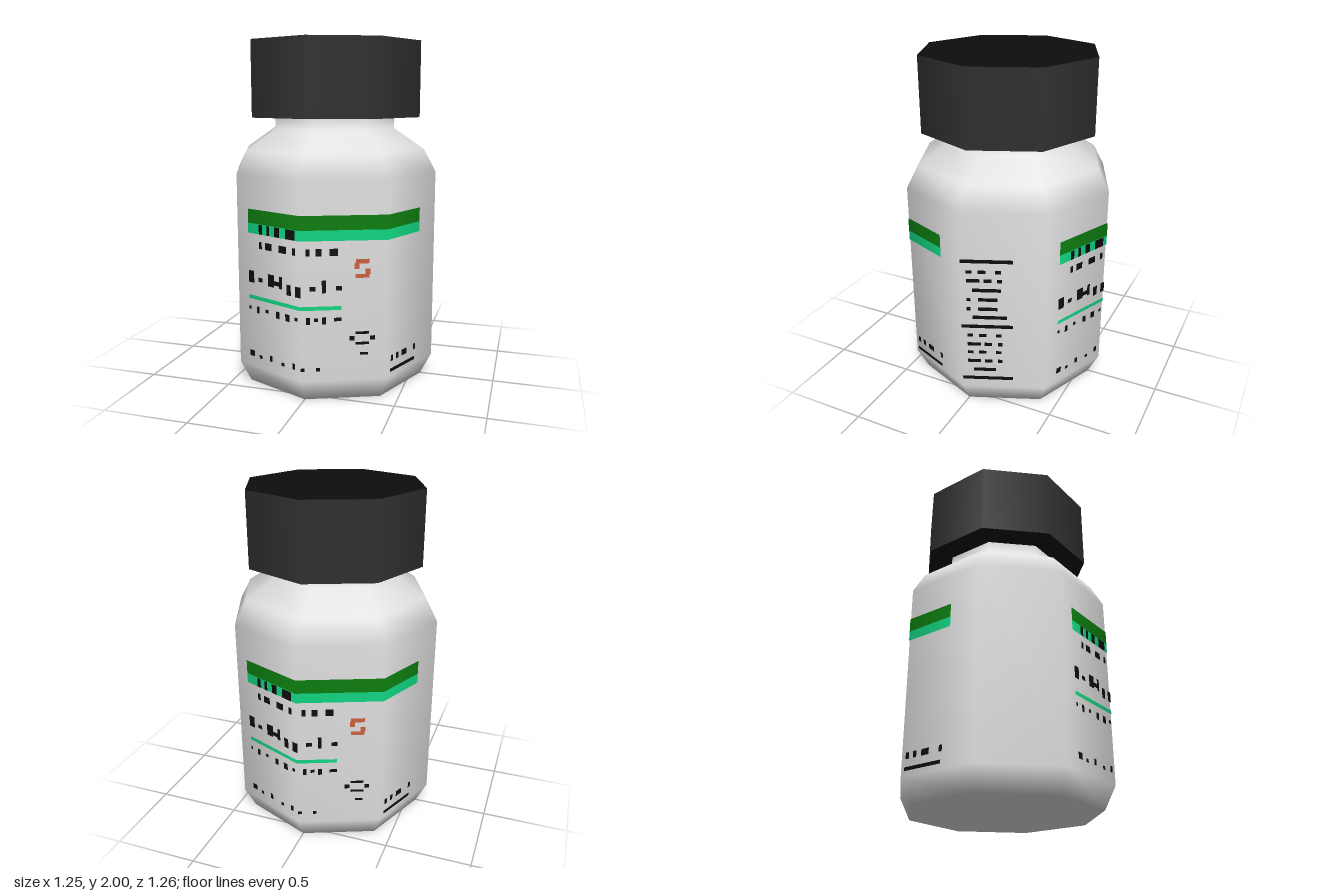
import * as THREE from 'three';

const R = 0.625, K = Math.SQRT1_2;

const material = (name, color, side = THREE.FrontSide) =>
  new THREE.MeshStandardMaterial({ name, color, side });

// Depth of the octagonal wall at a sideways position x, lifted slightly off the surface
function wallZ(x) {
  const r = R + 0.004, a = Math.abs(x), c = r * K;
  return a <= c ? r - (r - c) * a / c : (r - a) * c / (r - c);
}

// Thin printed rectangles [x0, x1, y0, y1] wrapped on the wall, folded at its corners
function printed(name, rects, mat) {
  const pos = [], nor = [], idx = [];
  const c = (R + 0.004) * K;
  for (const [x0, x1, y0, y1] of rects) {
    const xs = [x0, ...[-c, 0, c].filter(v => v > x0 && v < x1), x1];
    xs.forEach((x, i) => {
      const z = wallZ(x), l = Math.hypot(x, z), n = pos.length / 3;
      for (const y of [y0, y1]) {
        pos.push(x, y, z);
        nor.push(x / l, 0, z / l);
      }
      if (i < xs.length - 1) idx.push(n, n + 2, n + 3, n, n + 3, n + 1);
    });
  }
  const g = new THREE.BufferGeometry();
  g.setAttribute('position', new THREE.Float32BufferAttribute(pos, 3));
  g.setAttribute('normal', new THREE.Float32BufferAttribute(nor, 3));
  g.setIndex(idx);
  const mesh = new THREE.Mesh(g, mat);
  mesh.name = name;
  return mesh;
}

// One row of small marks: centre height, mark height, then start/end pairs
function row(y, h, ...ends) {
  const out = [];
  for (let i = 0; i < ends.length; i += 2) out.push([ends[i], ends[i + 1], y - h / 2, y + h / 2]);
  return out;
}

export function createModel() {
  const model = new THREE.Group();
  model.name = 'bottle';

  const white = material('white plastic', 0xe2e2e2, THREE.DoubleSide);
  const charcoal = material('charcoal cap', 0x303030);
  const black = material('black', 0x0d0d0d);
  const darkGreen = material('dark green', 0x0e8010);
  const lightGreen = material('light green', 0x12d884);
  const orange = material('orange', 0xcc6040);

  // Body: eight-sided smooth shell
  const profile = [[0, 0], [0.56, 0], [R, 0.13], [R, 1.25], [0.555, 1.38], [0.375, 1.5], [0.375, 1.58]]
    .map(p => new THREE.Vector2(...p));
  const body = new THREE.Mesh(new THREE.LatheGeometry(profile, 8), white);
  body.name = 'body';
  model.add(body);

  // Cap: charcoal sides with black ends
  const cap = new THREE.Mesh(new THREE.CylinderGeometry(0.525, 0.525, 0.435, 8), [charcoal, black, black]);
  cap.name = 'cap';
  cap.position.y = 1.7825;
  model.add(cap);

  // Marks on the main label
  const marks = [
    ...row(0.95, 0.055, -0.28, -0.255, -0.225, -0.205, -0.17, -0.135, -0.095, -0.03),
    ...row(0.86, 0.04, -0.28, -0.26, -0.235, -0.19, -0.14, -0.09, -0.05, -0.03, 0.03, 0.05, 0.08, 0.11, 0.15, 0.19),
    ...row(0.67, 0.07, -0.36, -0.32, -0.22, -0.175, -0.14, -0.12, 0.11, 0.13),
    ...row(0.66, 0.025, -0.29, -0.26, -0.175, -0.14, 0.05, 0.08, 0.18, 0.21),
    ...row(0.64, 0.06, -0.09, -0.06, -0.03, 0.005),
    ...row(0.48, 0.04, -0.305, -0.285, -0.165, -0.14, -0.1, -0.07, 0.03, 0.05, 0.11, 0.13),
    ...row(0.485, 0.02, -0.36, -0.345, -0.24, -0.22, -0.035, -0.015, 0.07, 0.09, 0.17, 0.21),
    ...row(0.21, 0.035, -0.36, -0.325, -0.215, -0.195, -0.055, -0.035),
    ...row(0.2, 0.02, -0.29, -0.27, -0.13, -0.11, 0, 0.02, 0.08, 0.1),
    // Small oval emblem
    ...row(0.405, 0.015, 0.28, 0.35), ...row(0.345, 0.015, 0.28, 0.35),
    ...row(0.375, 0.025, 0.25, 0.275, 0.355, 0.38), ...row(0.285, 0.015, 0.305, 0.345),
    // Small print beyond the corner
    ...row(0.17, 0.02, 0.456, 0.551),
    ...row(0.24, 0.035, 0.458, 0.467, 0.478, 0.487, 0.5, 0.52, 0.546, 0.554),
  ];
  const badge = [
    [0.28, 0.35, 0.795, 0.82], [0.275, 0.3, 0.765, 0.8],
    [0.33, 0.355, 0.735, 0.765], [0.28, 0.35, 0.715, 0.737],
  ];

  // The same label on front and back
  ['frontLabel', 'backLabel'].forEach((name, i) => {
    const label = new THREE.Group();
    label.name = name;
    label.add(
      printed('upperBand', [[-0.36, 0.563, 0.98, 1.06]], darkGreen),
      printed('lowerBand', [[-0.36, 0.563, 0.922, 0.98]], lightGreen),
      printed('divider', [[-0.36, 0.21, 0.538, 0.56]], lightGreen),
      printed('badge', badge, orange),
    );
    // Marks sit just above the bands
    const print = printed('printMarks', marks, black);
    print.scale.set(1.003, 1, 1.003);
    label.add(print);
    label.rotation.y = i * Math.PI;
    model.add(label);
  });

  // Information panel on the model's left side
  const panel = [];
  for (const y of [0.965, 0.55, 0.195]) panel.push(...row(y, 0.022, 0, 0.27));
  for (const y of [0.9, 0.49, 0.375])
    panel.push(...row(y, 0.02, 0.03, 0.06, 0.09, 0.13, 0.18, 0.21));
  for (const y of [0.845, 0.43, 0.315])
    panel.push(...row(y, 0.022, 0.03, 0.1, 0.12, 0.16, 0.19, 0.215));
  for (const y of [0.725, 0.665])
    panel.push(...row(y, 0.022, 0.03, 0.05, 0.09, 0.19));
  panel.push(...row(0.785, 0.022, 0.06, 0.21), ...row(0.61, 0.022, 0.06, 0.24), ...row(0.255, 0.022, 0.06, 0.18));
  const infoPanel = printed('infoPanel', panel, black);
  infoPanel.rotation.y = Math.PI / 2;
  model.add(infoPanel);

  return model;
}
